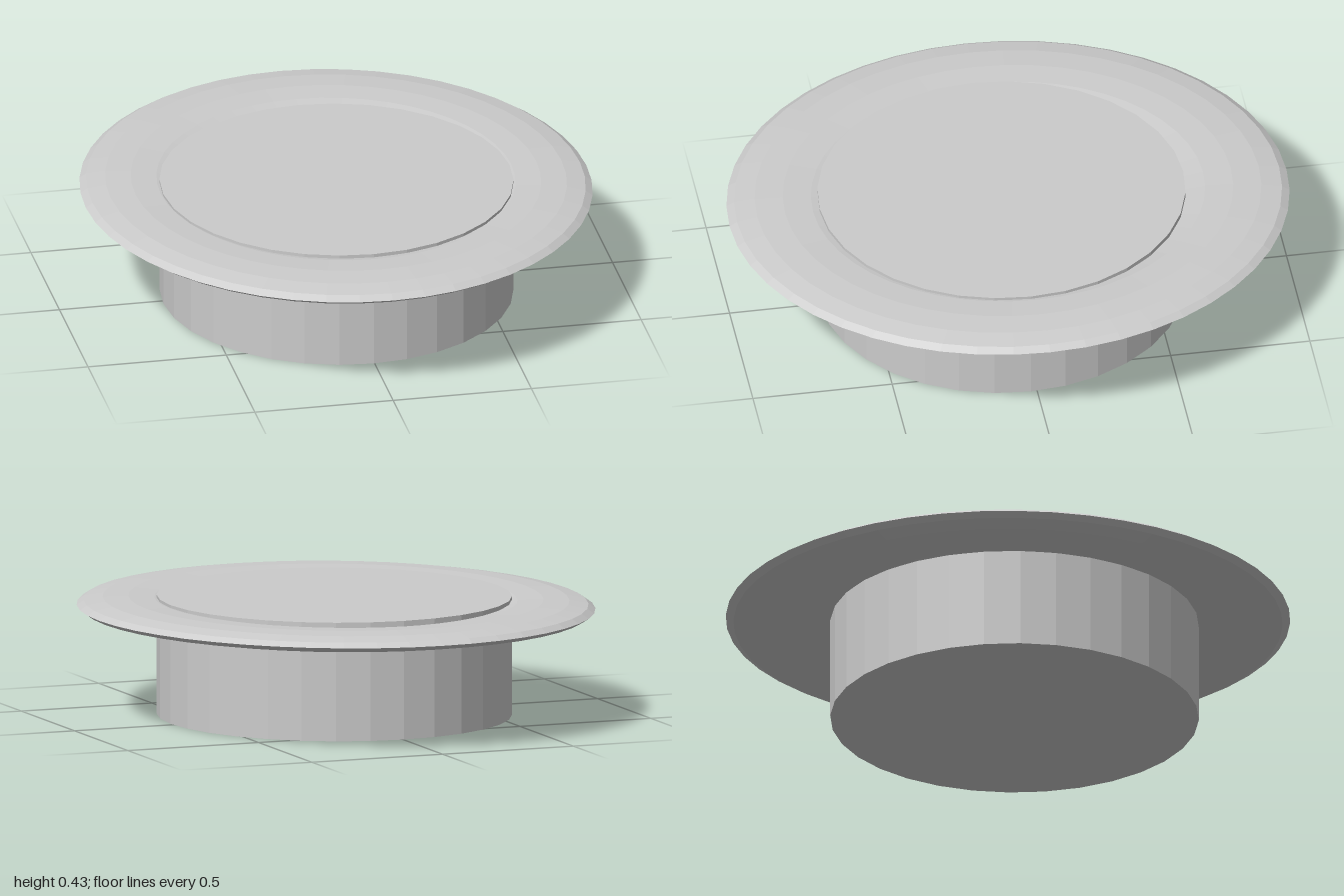
import * as THREE from 'three';

export function createModel() {
  const model = new THREE.Group();
  const material = new THREE.MeshStandardMaterial({ color: 0xcccccc, flatShading: true });

  // Flattened oval ring forming the brim
  const brimGeometry = new THREE.TorusGeometry(0.8, 0.2, 12, 48);
  brimGeometry.rotateX(-Math.PI / 2);
  brimGeometry.scale(0.905, 0.165, 1);
  const brim = new THREE.Mesh(brimGeometry, material);
  brim.name = 'brim';
  brim.position.y = 0.388;
  model.add(brim);

  // Oval drum through the ring, set slightly towards the front
  const drumGeometry = new THREE.CylinderGeometry(1, 1, 0.425, 32);
  drumGeometry.scale(0.626, 1, 0.653);
  const drum = new THREE.Mesh(drumGeometry, material);
  drum.name = 'drum';
  drum.position.set(-0.003, 0.2125, 0.023);
  model.add(drum);

  return model;
}
